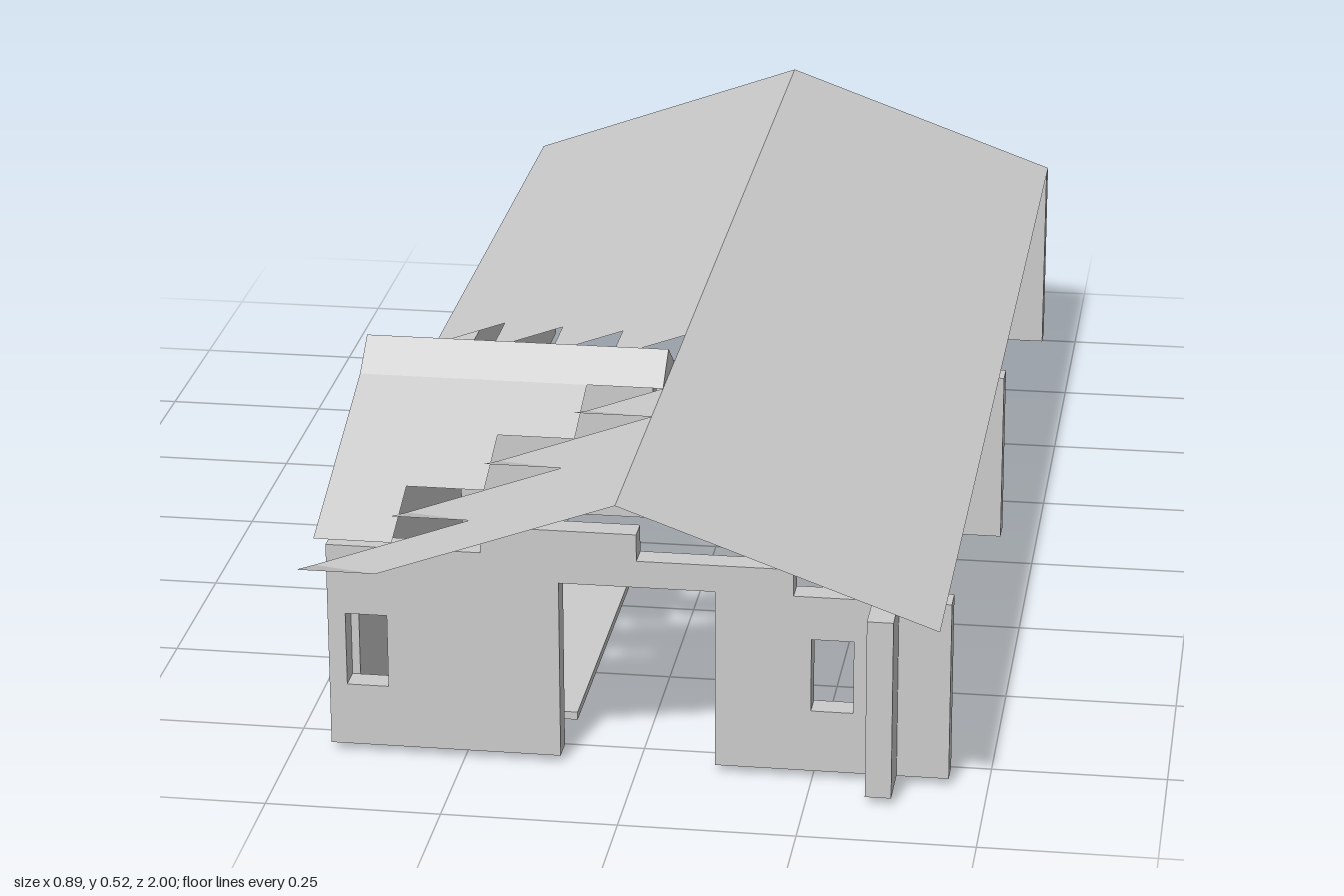
import * as THREE from 'three';

const U = 1 / 9;           // grid unit
const T = U / 3;           // wall thickness
const BASE = 0.012;        // floor thickness
const H = 4 * U;           // half width
const wallMat = new THREE.MeshStandardMaterial({ color: 0xcccccc, flatShading: true });
const roofMat = new THREE.MeshStandardMaterial({ color: 0xcccccc, flatShading: true, side: THREE.DoubleSide });

export function createModel() {
  const model = new THREE.Group();

  const add = (name, geometry, material = wallMat) => {
    const mesh = new THREE.Mesh(geometry, material);
    mesh.name = name;
    model.add(mesh);
    return mesh;
  };

  // Wall panel from an outline, with rectangular windows centred at the given positions
  const wall = (name, outline, windows = []) => {
    const shape = new THREE.Shape(outline.map(([a, y]) => new THREE.Vector2(a, y)));
    for (const c of windows) {
      const hole = new THREE.Path();
      hole.moveTo(c - 0.03, 0.105);
      hole.lineTo(c - 0.03, 0.215);
      hole.lineTo(c + 0.03, 0.215);
      hole.lineTo(c + 0.03, 0.105);
      hole.closePath();
      shape.holes.push(hole);
    }
    return add(name, new THREE.ExtrudeGeometry(shape, { depth: T, bevelEnabled: false }));
  };
  const rect = (a, b, top = 0.28) => [[a, BASE], [b, BASE], [b, top], [a, top]];

  // Back wall with a stepped gable
  const gable = [[-H, BASE], [H, BASE]];
  for (let k = 0; k < 4; k++) gable.push([H - k * U, 0.32 + 0.04 * k], [H - (k + 1) * U, 0.32 + 0.04 * k]);
  for (let k = 3; k >= 0; k--) gable.push([-H + (k + 1) * U, 0.32 + 0.04 * k], [-H + k * U, 0.32 + 0.04 * k]);
  const unique = gable.filter((p, i) => !i || p[0] !== gable[i - 1][0] || p[1] !== gable[i - 1][1]);
  wall('backWall', unique, [-1.5 * U, 1.5 * U]).position.z = -1;

  // Front wall with doorway and uneven top
  wall('frontWall', [
    [-H, BASE], [-U, BASE], [-U, 0.28], [U, 0.28], [U, BASE], [H, BASE], [H, 0.28],
    [2 * U, 0.28], [2 * U, 0.32], [0, 0.32], [0, 0.36], [-2 * U, 0.36], [-2 * U, 0.32], [-H, 0.32],
  ], [-3.5 * U, 2.5 * U]).position.z = 7 * U;

  // Partition in two pieces with a gap between them
  wall('partitionLeft', rect(0, H)).position.z = -U;
  wall('partitionRight', rect(-H, -U)).position.z = -U;

  // Side walls: panels turned to run along z
  const sideWall = (name, x, z0, z1, windows) => {
    const mesh = wall(name, rect(-z1, -z0), windows);
    mesh.rotation.y = Math.PI / 2;
    mesh.position.x = x;
  };
  sideWall('leftSideWall', 3 * U, -8 * U, 8 * U, [-5.5 * U, -2.5 * U, 2.5 * U, 5.5 * U]);
  sideWall('rightSideWallBack', -H, -8 * U, -U, []);
  sideWall('rightSideWallFront', -H, 0, 7 * U, []);

  // Broken floor slabs, given in grid units: x0, x1, z0, z1
  for (const [x0, x1, z0, z1] of [
    [-1, 2, -8, -7], [-2, 2, -7, -6], [-4, 2, -6, -4], [-3, 2, -4, -2], [-4, -1, 1, 6],
  ]) {
    add('floorSlab', new THREE.BoxGeometry((x1 - x0) * U, BASE, (z1 - z0) * U))
      .position.set((x0 + x1) * U / 2, BASE / 2, (z0 + z1) * U / 2);
  }

  // Roof sheets, each a list of triangles facing up
  const sheet = (name, points) => {
    const g = new THREE.BufferGeometry();
    g.setAttribute('position', new THREE.Float32BufferAttribute(points.flat(), 3));
    g.computeVertexNormals();
    add(name, g, roofMat);
  };
  // Rectangle in plan whose height follows a rule
  const panel = (name, x0, x1, z0, z1, height) => {
    const p = (x, z) => [x, height(x, z), z];
    const a = p(x0, z0), b = p(x0, z1), c = p(x1, z1), d = p(x1, z0);
    sheet(name, [a, b, c, a, c, d]);
  };
  const mainPitch = (x) => 0.48 - 0.36 * Math.abs(x);
  const crossPitch = (x, z) => 0.48 - 0.36 * (Math.abs(z - 0.5) - U / 2);

  panel('leftRoofSlope', 0, H, -1, 1, mainPitch);
  for (let k = 0; k < 4; k++) {
    const x0 = -H + k * U, x1 = x0 + U;
    panel('rightRoofSlopeBack', x0, x1, -1, k * U, mainPitch);
    panel('crossRoofSlopeBack', x0, x1, k * U, 4 * U, crossPitch);
    if (k > 0) panel('rightRoofSlopeFront', x0, x1, 1 - k * U, 1, mainPitch);
    if (k < 3) panel('crossRoofSlopeFront', x0, x1, 5 * U, (8 - k) * U, crossPitch);
    // Folded valley tile with its low corner at the back right
    const z0 = (8 - k) * U, z1 = z0 + U, lo = 0.32 + 0.04 * k, hi = lo + 0.04;
    const low = [x0, lo, z0], far = [x1, hi, z1];
    sheet('valleyTile', [low, [x0, hi, z1], far, low, far, [x1, hi, z0]]);
  }

  // Ridge cap of the cross roof
  const cap = new THREE.Shape([
    new THREE.Vector2(-5 * U, 0.48), new THREE.Vector2(-4 * U, 0.48), new THREE.Vector2(-4.5 * U, 0.52),
  ]);
  const ridge = add('crossRoofRidge', new THREE.ExtrudeGeometry(cap, { depth: H, bevelEnabled: false }));
  ridge.rotation.y = Math.PI / 2;
  ridge.position.x = -H;

  return model;
}
